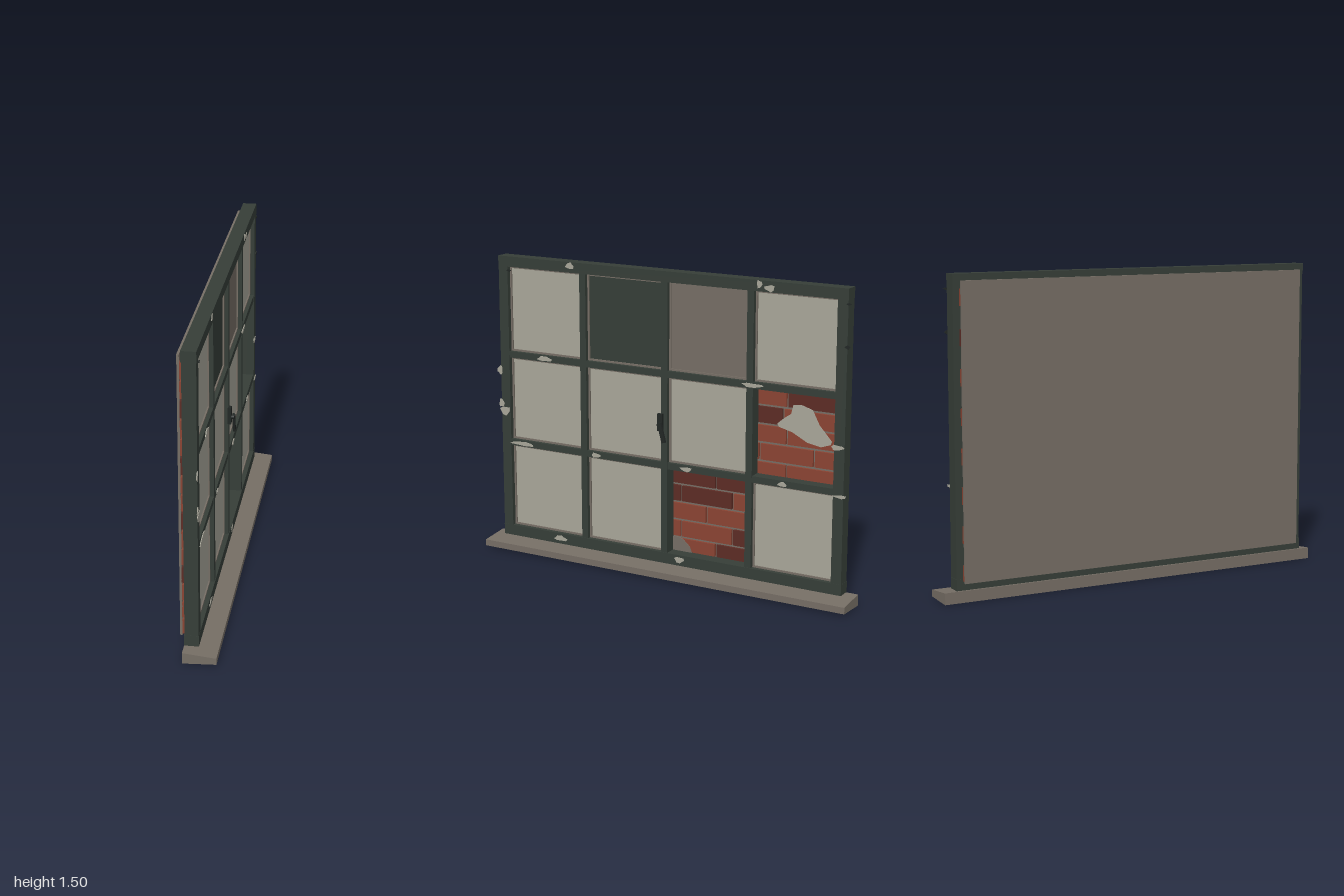
import * as THREE from 'three';

const mat = (name, color) => new THREE.MeshStandardMaterial({ name, color });

export function createModel() {
  const paint = mat('dark green paint', 0x363e38);
  const iron = mat('black iron', 0x222725);
  const cream = mat('cream board', 0xa9a79a);
  const stone = mat('stone grey', 0x766e65);
  const brickLight = mat('light brick', 0x8b4433);
  const brickDark = mat('dark brick', 0x5d2c25);

  const root = new THREE.Group();
  root.name = 'brickedUpWindow';
  // Built facing +z with u across, then turned to face +x
  const win = new THREE.Group();
  win.name = 'window';
  win.rotation.y = Math.PI / 2;
  root.add(win);

  const group = (name) => {
    const g = new THREE.Group();
    g.name = name;
    win.add(g);
    return g;
  };
  // Box given by its limits
  const box = (parent, name, m, u0, u1, y0, y1, d0, d1) => {
    const mesh = new THREE.Mesh(new THREE.BoxGeometry(u1 - u0, y1 - y0, d1 - d0), m);
    mesh.position.set((u0 + u1) / 2, (y0 + y1) / 2, (d0 + d1) / 2);
    mesh.name = name;
    parent.add(mesh);
    return mesh;
  };
  // Thin flat plate with a polygon outline
  const plate = (parent, name, m, pts, depth, thick = 0.004) => {
    const shape = new THREE.Shape(pts.map(([u, y]) => new THREE.Vector2(u, y)));
    const geo = new THREE.ExtrudeGeometry(shape, { depth: thick, bevelEnabled: false });
    const mesh = new THREE.Mesh(geo, m);
    mesh.position.z = depth;
    mesh.name = name;
    parent.add(mesh);
  };

  // Sloping sill
  const sillShape = new THREE.Shape([[-0.068, 0], [0.088, 0.008], [0.088, 0.04], [-0.068, 0.055]]
    .map(([x, y]) => new THREE.Vector2(x, y)));
  const sill = new THREE.Mesh(new THREE.ExtrudeGeometry(sillShape, { depth: 2, bevelEnabled: false }), stone);
  sill.position.z = -1;
  sill.name = 'sill';
  root.add(sill);

  // Outer frame and glazing bars
  const frame = group('frame');
  box(frame, 'topRail', paint, -0.942, 0.942, 1.448, 1.5, -0.068, 0);
  box(frame, 'bottomRail', paint, -0.942, 0.942, 0.058, 0.112, -0.068, 0);
  for (const s of [-1, 1]) {
    box(frame, 'stile', paint, s * 0.915 - 0.026, s * 0.915 + 0.026, 0.112, 1.448, -0.065, -0.001);
  }
  for (const u of [-0.455, 0, 0.455]) box(frame, 'mullion', paint, u - 0.017, u + 0.017, 0.112, 1.448, -0.064, -0.003);
  for (const y of [0.552, 1.005]) box(frame, 'crossBar', paint, -0.889, 0.889, y - 0.016, y + 0.016, -0.063, -0.004);

  // Boarded panes with putty edging; two openings are left bare
  const panes = group('panes');
  const cols = [[-0.889, -0.472], [-0.438, -0.017], [0.017, 0.438], [0.472, 0.889]];
  const rows = [[0.112, 0.536], [0.568, 0.989], [1.021, 1.448]];
  rows.forEach(([y0, y1], r) => cols.forEach(([u0, u1], c) => {
    if ((r === 0 && c === 2) || (r === 1 && c === 3)) return;
    const m = r === 2 && c === 1 ? paint : r === 2 && c === 2 ? stone : cream;
    box(panes, 'pane', m, u0, u1, y0, y1, -0.036, -0.029);
    const w = 0.009;
    for (const y of [y0, y1 - w]) box(panes, 'putty', stone, u0, u1, y, y + w, -0.03, -0.022);
    for (const u of [u0, u1 - w]) box(panes, 'putty', stone, u, u + w, y0 + w, y1 - w, -0.03, -0.022);
  }));

  // Brick infill on a mortar backing
  const wall = group('brickWall');
  box(wall, 'mortarBacking', stone, -0.91, 0.91, 0.092, 1.47, -0.09, -0.079);
  const joints = { 1: 0.25, 5: 0.25, 9: 0.6 };
  const known = {
    1: [[0.25, 0.5]], 2: [[0.34, 0.6]], 4: [[-0.3, 0.3]], 5: [[-0.1, 0.5]],
    9: [[0.3, 0.58]], 10: [[0.6, 0.9]],
  };
  const pitch = 0.28;
  for (let k = 1; k <= 15; k++) {
    const offset = joints[k] ?? (k % 2 ? 0.2 : 0.06);
    for (let n = -8; n < 8; n++) {
      const u0 = Math.max(offset + n * pitch + 0.005, -0.91);
      const u1 = Math.min(offset + (n + 1) * pitch - 0.005, 0.91);
      if (u1 - u0 < 0.02) continue;
      const mid = (u0 + u1) / 2;
      const seen = mid > 0 && k < 11;
      const dark = seen ? (known[k] || []).some(([a, b]) => mid > a && mid < b) : (k * 7 + n * 5 + 40) % 3 === 0;
      box(wall, 'brick', dark ? brickDark : brickLight, u0, u1,
        Math.max(k * 0.09 + 0.006, 0.1), Math.min(k * 0.09 + 0.084, 1.466), -0.08, -0.066);
    }
  }

  // Plaster left on the bricks and mortar heaped in a corner
  plate(wall, 'plasterPatch', cream, [[0.572, 0.823], [0.61, 0.856], [0.642, 0.877], [0.652, 0.92], [0.69, 0.926],
    [0.75, 0.908], [0.786, 0.84], [0.85, 0.77], [0.845, 0.755], [0.797, 0.738], [0.727, 0.75], [0.65, 0.79], [0.58, 0.808]], -0.066);
  plate(wall, 'mortarPatch', stone, [[0.012, 0.108], [0.122, 0.108], [0.11, 0.14], [0.07, 0.175], [0.03, 0.185], [0.012, 0.18]], -0.066);

  // Flaked paint: centre u, centre y, width, height
  const flakes = group('paintFlakes');
  const chips = [
    [-0.524, 1.481, 0.05, 0.035], [0.5, 1.481, 0.03, 0.04], [0.553, 1.467, 0.06, 0.033],
    [-0.679, 1.005, 0.09, 0.027], [0.47, 1.005, 0.12, 0.022], [-0.945, 0.92, 0.033, 0.05],
    [-0.941, 0.75, 0.033, 0.045], [-0.92, 0.712, 0.065, 0.05], [-0.818, 0.551, 0.15, 0.022],
    [-0.385, 0.551, 0.055, 0.024], [0.123, 0.551, 0.07, 0.024], [0.631, 0.551, 0.05, 0.024],
    [0.905, 0.765, 0.07, 0.027], [0.925, 0.535, 0.075, 0.017], [-0.6, 0.086, 0.08, 0.03], [0.086, 0.088, 0.06, 0.034],
  ];
  chips.forEach(([u, y, w, h], i) => {
    const pts = [];
    for (let j = 0; j < 9; j++) {
      const a = (j / 9) * Math.PI * 2;
      const r = 0.45 + 0.1 * Math.sin(i * 2.3 + j * 4.1);
      pts.push([u + Math.cos(a) * w * r, y + Math.sin(a) * h * r]);
    }
    plate(flakes, 'paintFlake', cream, pts, -0.002);
  });
  // Dark slivers lifting off the edge
  for (const [u, y, h] of [[0.945, 1.43, 0.012], [0.943, 1.235, 0.02], [-0.88, 1.43, 0.012]]) {
    plate(flakes, 'darkSliver', iron, [[u - 0.016, y], [u, y - h / 2], [u + 0.014, y], [u, y + h / 2]], -0.002);
  }

  // Latch: plate, spindle and slanted lever
  const latch = group('latch');
  box(latch, 'latchPlate', iron, -0.032, -0.004, 0.725, 0.81, -0.004, 0.012);
  const spindle = new THREE.Mesh(new THREE.CylinderGeometry(0.01, 0.01, 0.02, 12), iron);
  spindle.rotation.x = Math.PI / 2;
  spindle.position.set(-0.016, 0.758, 0.016);
  spindle.name = 'spindle';
  latch.add(spindle);
  const lever = box(latch, 'lever', iron, -0.01, 0.01, 0.672, 0.77, 0.016, 0.028);
  lever.rotation.z = 0.26;

  return root;
}
